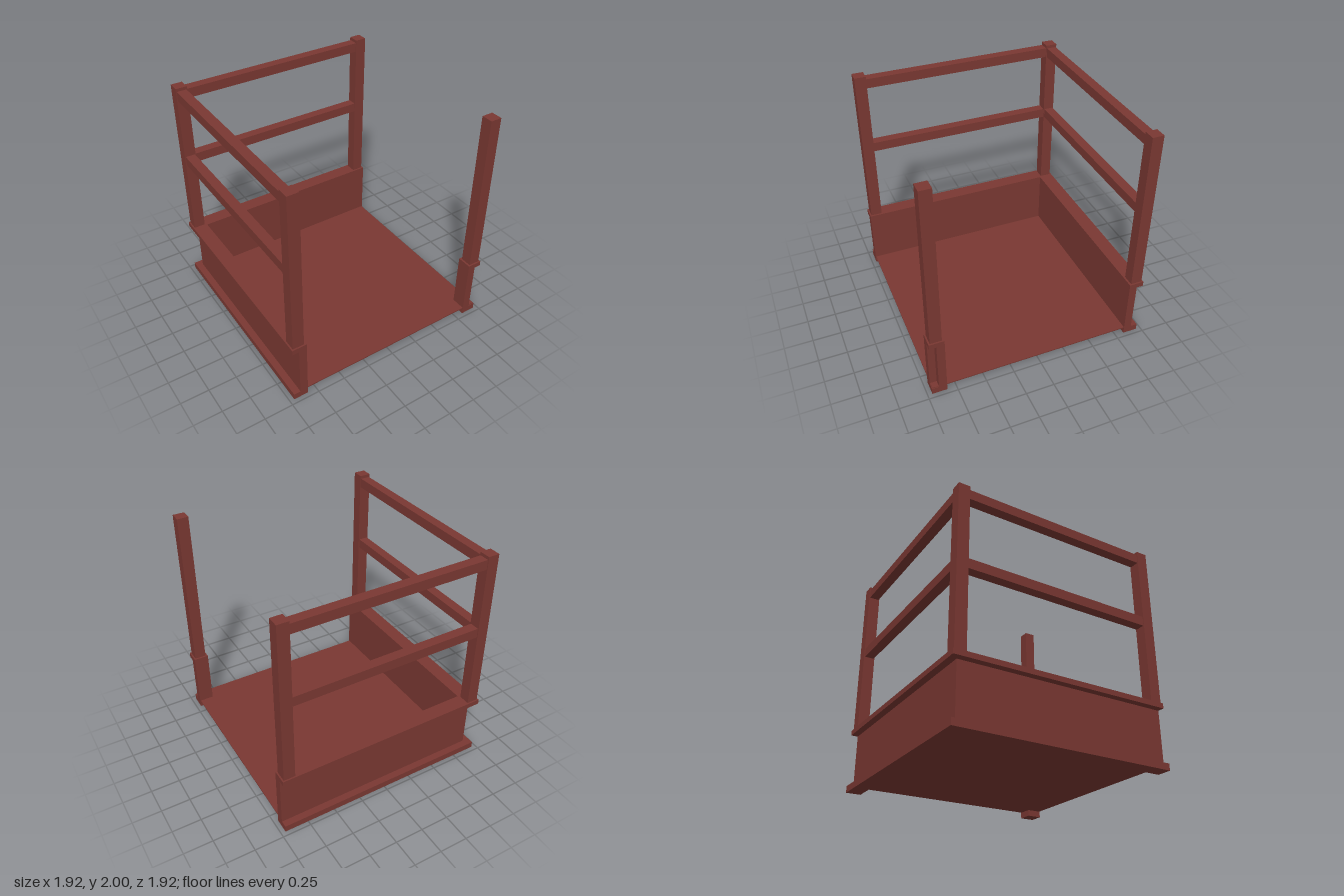
import * as THREE from 'three';

const OUT = 0.96, WEB = 0.9, IN = 0.83; // outer flange edge, web outside, web inside
const POST = 0.897;                     // post and rail centre line
const Y = [0, 0.058, 0.52, 0.565];      // channel levels: lower flange, web, upper flange

export function createModel() {
  const model = new THREE.Group();
  const material = new THREE.MeshStandardMaterial({ color: 0x7a3832, flatShading: true });

  const add = (name, geometry, parent = model) => {
    const mesh = new THREE.Mesh(geometry, material);
    mesh.name = name;
    parent.add(mesh);
    return mesh;
  };
  const box = (name, w, h, d, x, y, z) =>
    add(name, new THREE.BoxGeometry(w, h, d)).position.set(x, y, z);

  // Extrudes a floor-plan outline of [x, z] points from y0 up to y1
  const plan = (name, points, y0, y1, parent) => {
    const shape = new THREE.Shape(points.map(([x, z]) => new THREE.Vector2(x, -z)));
    const geometry = new THREE.ExtrudeGeometry(shape, { depth: y1 - y0, bevelEnabled: false });
    geometry.rotateX(-Math.PI / 2).translate(0, y0, 0);
    return add(name, geometry, parent);
  };
  // Outward-facing channel: flange outline below and above a web outline
  const channel = (name, flange, web) => {
    const group = new THREE.Group();
    group.name = name;
    plan('lowerFlange', flange, Y[0], Y[1], group);
    plan('web', web, Y[1], Y[2], group);
    plan('upperFlange', flange, Y[2], Y[3], group);
    model.add(group);
  };

  // Mitred channel along the back and right sides
  const wallPlan = (o) => [[-o, OUT], [-o, -o], [OUT, -o], [OUT, -IN], [-IN, -IN], [-IN, OUT]];
  channel('wallChannel', wallPlan(OUT), wallPlan(WEB));

  // Short mitred channel corner under the free-standing post
  channel('cornerStub',
    [[IN, IN], [OUT, IN], [OUT, OUT], [IN, OUT]],
    [[IN, IN], [OUT, IN], [OUT, WEB], [WEB, WEB], [WEB, OUT], [IN, OUT]]);

  // Floor plate
  const side = OUT + IN - 0.005, mid = (OUT - IN - 0.005) / 2;
  box('floor', side, 0.01, side, mid, 0.06, mid);

  // Corner posts
  for (const x of [-POST, POST])
    for (const z of [-POST, POST]) box('post', 0.1, 1.46, 0.1, x, 1.27, z);

  // Middle and top rails on the two walled sides
  const length = 2 * POST - 0.1;
  for (const [name, y] of [['middleRail', 1.3], ['topRail', 1.93]]) {
    box(name + 'Back', length, 0.085, 0.085, 0, y, -POST);
    box(name + 'Right', 0.085, 0.085, length, -POST, y, 0);
  }

  return model;
}
